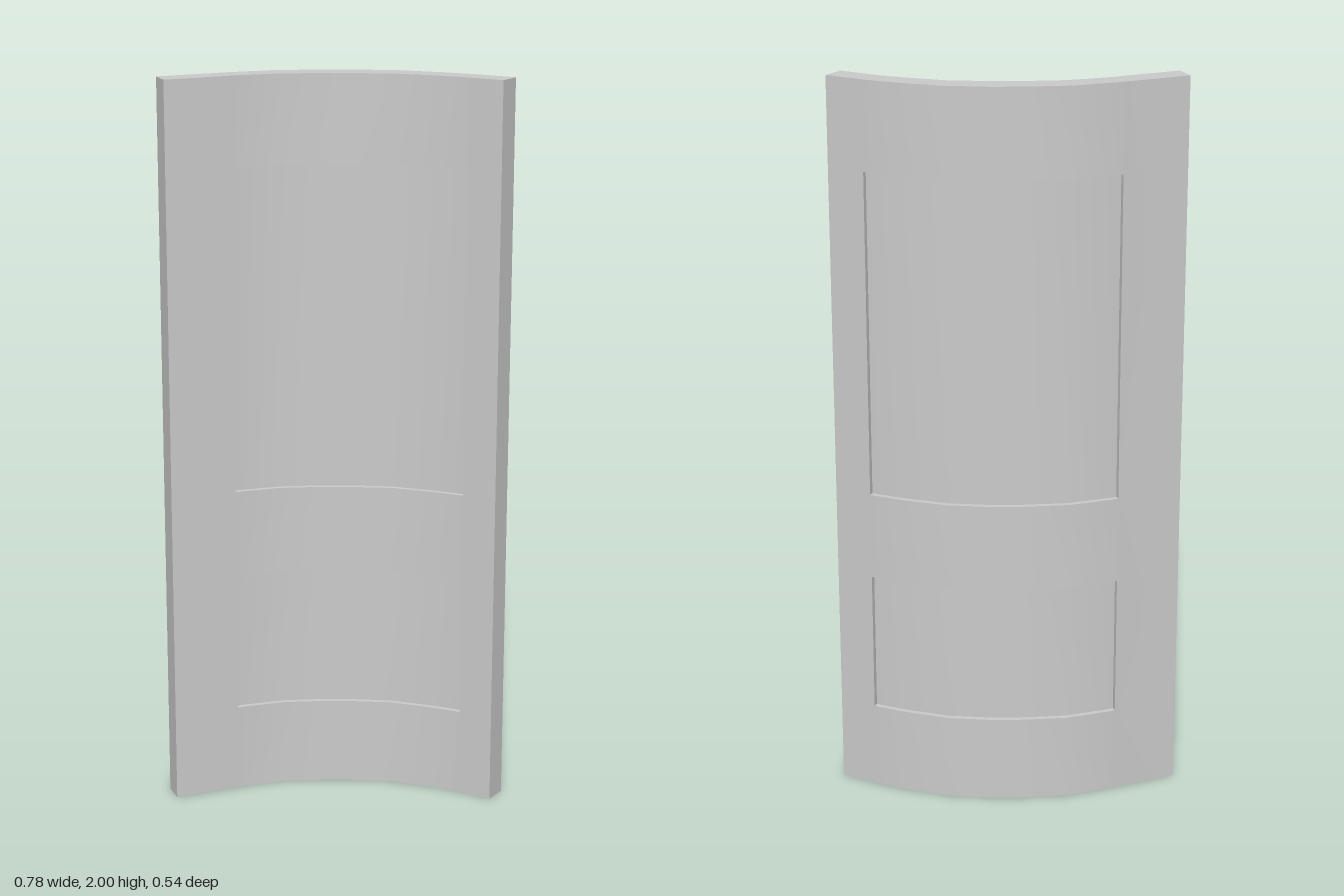
import * as THREE from 'three';
import { toCreasedNormals } from 'three/addons/utils/BufferGeometryUtils.js';

// Plan sections [x, z] of the curved leaf, from its right edge to its left edge
const CONCAVE = [[-0.337, 0.27], [-0.236, 0.117], [-0.225, 0.1], [-0.155, 0.015], [-0.068, -0.055], [0, -0.1],
  [0.095, -0.153], [0.205, -0.185], [0.275, -0.2], [0.292, -0.202], [0.388, -0.21]];
const CONVEX = [[-0.388, 0.235], [-0.286, 0.082], [-0.275, 0.065], [-0.2, -0.03], [-0.105, -0.107], [-0.035, -0.155],
  [0.07, -0.21], [0.19, -0.245], [0.265, -0.26], [0.283, -0.262], [0.388, -0.273]];
const ROWS = [0, 0.24, 0.63, 0.87, 1.76, 2];
const LAST = CONCAVE.length - 1;
const FIRST_COL = 1, END_COL = LAST - 1; // stations bounding the panels
const RECESS = 0.22; // recess as a share of the thickness

// Point at station i and height y; t runs from the concave face (0) to the convex face (1)
function point(i, y, t) {
  const [ax, az] = CONCAVE[i], [bx, bz] = CONVEX[i];
  return [ax + (bx - ax) * t, y, az + (bz - az) * t];
}

function quad(out, a, b, c, d, flip) {
  if (flip) [b, d] = [d, b];
  out.push(...a, ...b, ...c, ...a, ...c, ...d);
}

function makeMesh(name, positions, material) {
  const geometry = new THREE.BufferGeometry();
  geometry.setAttribute('position', new THREE.Float32BufferAttribute(positions, 3));
  const mesh = new THREE.Mesh(toCreasedNormals(geometry, 0.6), material);
  mesh.name = name;
  return mesh;
}

export function createModel() {
  const group = new THREE.Group();
  group.name = 'curvedDoor';
  const material = new THREE.MeshStandardMaterial({ color: 0xcccccc });
  const frame = [];

  for (const side of ['concave', 'convex']) {
    const flip = side === 'convex';
    const S = flip ? 1 : 0;
    const D = flip ? 1 - RECESS : RECESS;

    for (let r = 0; r < ROWS.length - 1; r++) {
      const y0 = ROWS[r], y1 = ROWS[r + 1];
      const panelRow = r % 2 === 1;
      const panel = [];
      for (let i = 0; i < LAST; i++) {
        const isPanel = panelRow && i >= FIRST_COL && i < END_COL;
        const t = isPanel ? D : S;
        quad(isPanel ? panel : frame, point(i, y0, t), point(i + 1, y0, t),
          point(i + 1, y1, t), point(i, y1, t), flip);
        if (!isPanel) continue;
        // Sill and head of the recess
        quad(frame, point(i, y0, S), point(i + 1, y0, S), point(i + 1, y0, D), point(i, y0, D), flip);
        quad(frame, point(i, y1, D), point(i + 1, y1, D), point(i + 1, y1, S), point(i, y1, S), flip);
      }
      if (!panelRow) continue;
      // Upright walls of the recess
      const a = FIRST_COL, b = END_COL;
      quad(frame, point(a, y0, S), point(a, y0, D), point(a, y1, D), point(a, y1, S), flip);
      quad(frame, point(b, y0, D), point(b, y0, S), point(b, y1, S), point(b, y1, D), flip);
      group.add(makeMesh(`${side}${r === 1 ? 'Lower' : 'Upper'}Panel`, panel, material));
    }
  }

  // Top and bottom edges
  for (let i = 0; i < LAST; i++) {
    for (const y of [0, 2]) {
      quad(frame, point(i, y, 0), point(i + 1, y, 0), point(i + 1, y, 1), point(i, y, 1), y === 0);
    }
  }
  // Side edges
  for (const i of [0, LAST]) {
    quad(frame, point(i, 0, 1), point(i, 0, 0), point(i, 2, 0), point(i, 2, 1), i === LAST);
  }

  group.add(makeMesh('doorFrame', frame, material));
  return group;
}
